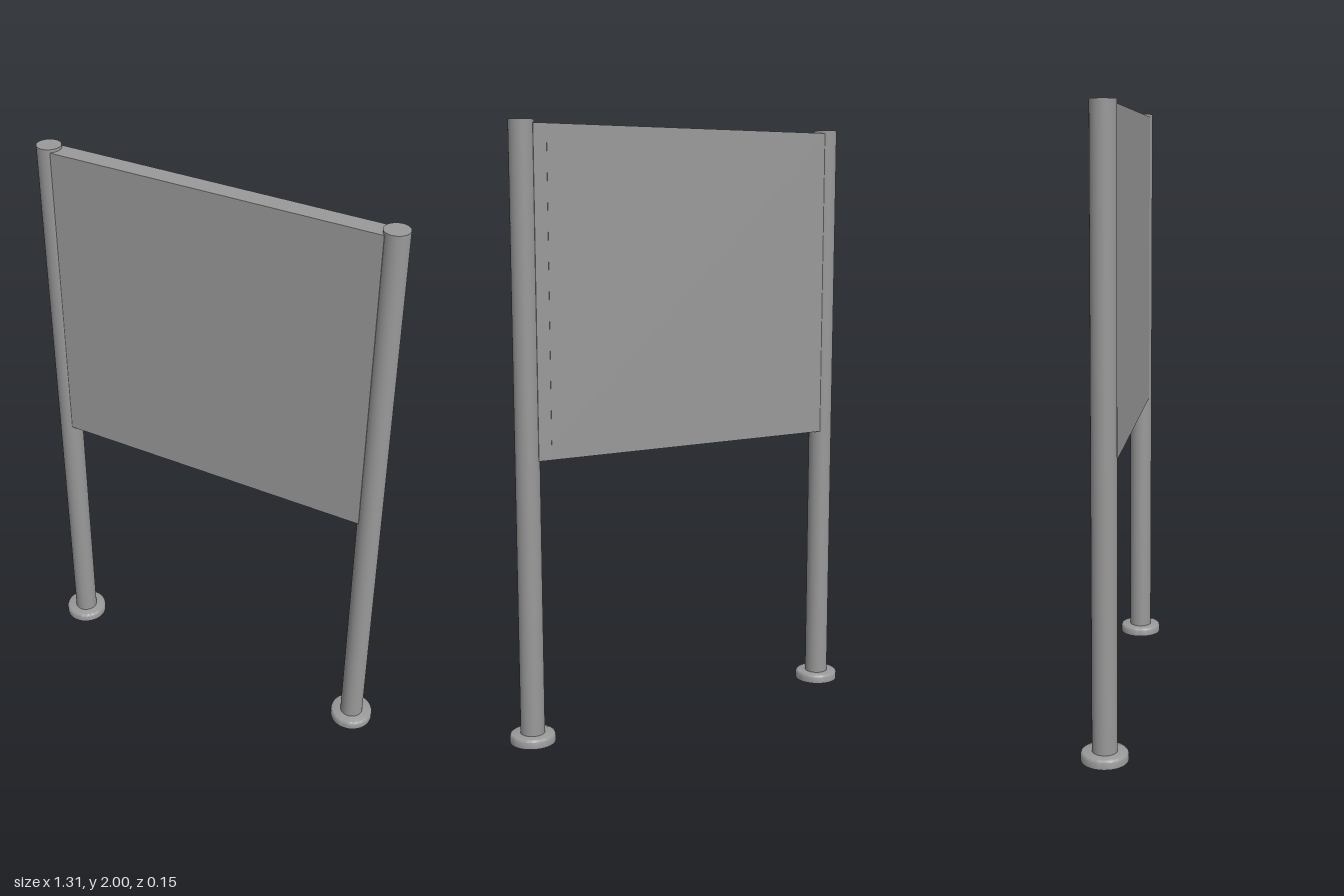
import * as THREE from 'three';
import { toCreasedNormals } from 'three/addons/utils/BufferGeometryUtils.js';

const POST_X = 0.58, POST_R = 0.04, BASE_R = 0.075, BASE_H = 0.03;
const PANEL = { width: 1.11, bottom: 0.94, top: 1.99, depth: 0.066 };

export function createModel() {
  const group = new THREE.Group();
  group.name = 'postSign';
  const metal = new THREE.MeshStandardMaterial({ color: 0x999999 });
  metal.name = 'greyMetal';

  const add = (name, geometry, x, y, z) => {
    const mesh = new THREE.Mesh(geometry, metal);
    mesh.name = name;
    mesh.position.set(x, y, z);
    group.add(mesh);
  };

  // Round foot with a softened top edge
  const footProfile = [
    [0, 0], [BASE_R, 0], [BASE_R, BASE_H - 0.007],
    [BASE_R - 0.002, BASE_H - 0.002], [BASE_R - 0.007, BASE_H], [0, BASE_H],
  ].map(([r, y]) => new THREE.Vector2(r, y));
  const footGeometry = toCreasedNormals(new THREE.LatheGeometry(footProfile, 48), 0.9);
  const postGeometry = new THREE.CylinderGeometry(POST_R, POST_R, 2, 48);

  // Two posts, each on its foot
  for (const [side, s] of [['left', 1], ['right', -1]]) {
    add(side + 'Post', postGeometry, s * POST_X, 1, 0);
    add(side + 'Foot', footGeometry, s * POST_X, 0, 0);
  }

  // Display panel held between the posts
  const height = PANEL.top - PANEL.bottom;
  const midY = (PANEL.top + PANEL.bottom) / 2;
  add('panel', new THREE.BoxGeometry(PANEL.width, height, PANEL.depth), 0, midY, 0);

  // Thin inset sheet on the back face
  add('backSheet', new THREE.BoxGeometry(1.02, height - 0.1, 0.002), 0, midY, -PANEL.depth / 2);

  return group;
}
